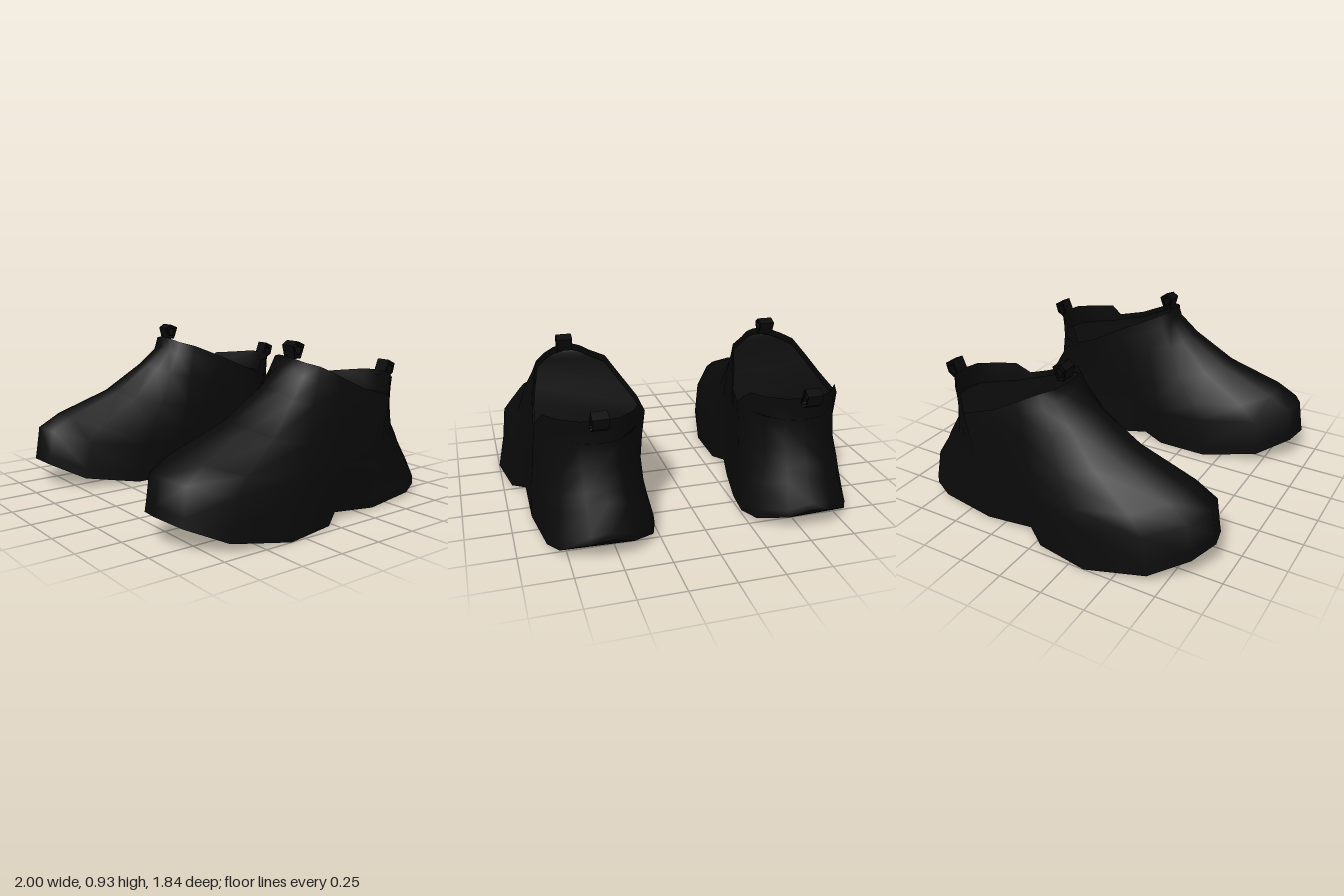
import * as THREE from 'three';

const black = new THREE.MeshStandardMaterial({ color: 0x0a0a0a, side: THREE.DoubleSide });
black.name = 'black';

// Columns round the shoe, toe -> outer side -> heel -> inner side:
// sole x, sole z, rim x, rim y, rim z
const columns = [
  [0.67, 0.92, 0.59, 0.85, 0.055], [0.81, 0.85, 0.66, 0.84, 0.045],
  [0.94, 0.67, 0.72, 0.82, 0.01], [1.0, 0.34, 0.77, 0.8, -0.05],
  [0.95, 0.04, 0.8, 0.74, -0.17], [0.88, -0.07, 0.83, 0.67, -0.31],
  [0.88, -0.36, 0.85, 0.61, -0.5], [0.84, -0.69, 0.81, 0.68, -0.54],
  [0.79, -0.8, 0.74, 0.685, -0.64], [0.65, -0.9, 0.65, 0.695, -0.72],
  [0.53, -0.92, 0.55, 0.7, -0.74], [0.42, -0.88, 0.45, 0.695, -0.72],
  [0.29, -0.76, 0.36, 0.685, -0.63], [0.25, -0.63, 0.31, 0.68, -0.54],
  [0.27, -0.45, 0.26, 0.615, -0.48], [0.32, -0.2, 0.275, 0.66, -0.36],
  [0.36, -0.03, 0.33, 0.73, -0.22], [0.33, 0.1, 0.385, 0.8, -0.06],
  [0.33, 0.4, 0.46, 0.82, 0.0], [0.41, 0.72, 0.51, 0.84, 0.04],
  [0.54, 0.89, 0.55, 0.85, 0.05],
];
const N = columns.length;

// Height fractions of the rings, and how far each has moved from sole to rim
const rise = [0, 0.07, 0.275, 0.38, 0.55, 0.77, 0.91, 1];
const toeLean = [0, 0.01, 0.035, 0.18, 0.56, 0.85, 0.99, 1];
const sideLean = [0, 0.04, 0.16, 0.27, 0.53, 0.72, 0.9, 1];
const heelLean = [0, 0, 0.45, 0.63, 0.97, 1.06, 1.04, 1];

// Underside height along the length: toe spring, arch and rounded heel
const underside = [
  [-0.92, 0.13], [-0.87, 0.07], [-0.8, 0.04], [-0.7, 0.02], [-0.28, 0], [-0.05, 0.04],
  [0.05, 0], [0.4, 0], [0.73, 0.06], [0.92, 0.16],
];
function soleHeight(z) {
  const i = Math.max(1, underside.findIndex(([z1]) => z <= z1));
  const [z0, y0] = underside[i - 1], [z1, y1] = underside[i];
  return y0 + (y1 - y0) * (z - z0) / (z1 - z0);
}

function point(i, r, side) {
  const [sx, sz, rx, ry, rz] = columns[i];
  const toe = THREE.MathUtils.smoothstep(sz, 0.25, 0.85);
  const heel = THREE.MathUtils.smoothstep(-sz, 0.3, 0.85);
  const s = toe * toeLean[r] + heel * heelLean[r] + (1 - toe - heel) * sideLean[r];
  const y0 = soleHeight(sz);
  let x = sx + (rx - sx) * s;
  // the inner ankle is pinched
  if (sz < -0.1 && sx < 0.4) x += 0.02 * Math.sin(Math.PI * rise[r]);
  return [side * x, y0 + (ry - y0) * rise[r], sz + (rz - sz) * s];
}

function surface(positions, quads, side) {
  const index = [];
  for (const [a, b, c, d] of quads) {
    if (side > 0) index.push(a, b, c, a, c, d);
    else index.push(a, c, b, a, d, c);
  }
  const g = new THREE.BufferGeometry();
  g.setAttribute('position', new THREE.Float32BufferAttribute(positions, 3));
  g.setIndex(index);
  g.computeVertexNormals();
  return g;
}

function part(name, geometry) {
  const mesh = new THREE.Mesh(geometry, black);
  mesh.name = name;
  return mesh;
}

// Open shell from the sole edge up to the collar
function upper(side) {
  const pos = [], quads = [];
  for (let r = 0; r < rise.length; r++) {
    for (let i = 0; i < N; i++) {
      pos.push(...point(i, r, side));
      const j = (i + 1) % N;
      if (r) quads.push([(r - 1) * N + i, (r - 1) * N + j, r * N + j, r * N + i]);
    }
  }
  return surface(pos, quads, side);
}

// Bridges matching outer and inner columns, facing up or down
function bridge(pos, side, facing) {
  const quads = [];
  for (let i = 0; i < (N - 1) / 2; i++) quads.push([i, i + 1, N - 2 - i, N - 1 - i]);
  return surface(pos, quads, side * facing);
}

function sole(side) {
  return bridge(columns.flatMap((c, i) => point(i, 0, side)), side, -1);
}

// Lining that closes the sloping opening just below the rim and dips inside the heel collar
function lining(side) {
  const pos = columns.flatMap(([, , x, y, z]) => {
    const depth = z < -0.52 ? 0.57 : y - 0.035;
    return [side * (0.56 + (x - 0.56) * 0.98), depth, -0.34 + (z + 0.34) * 0.98];
  });
  return bridge(pos, side, 1);
}

// Five-sided pull loop of an outer and an inner band, outline given as z, y
function loop(outline, x) {
  const pts = outline.map(([z, y]) => new THREE.Vector2(z, y));
  const mid = pts.reduce((m, p) => m.add(p), new THREE.Vector2()).divideScalar(pts.length);
  const inset = t => pts.map(p => p.clone().lerp(mid, t));
  const bands = [[0, 0.1], [0.4, 0.5]].map(([outer, inner]) => {
    const shape = new THREE.Shape(inset(outer));
    shape.holes.push(new THREE.Path(inset(inner)));
    return shape;
  });
  const g = new THREE.ExtrudeGeometry(bands, { depth: 0.085, bevelEnabled: false });
  g.translate(0, 0, -0.0425).rotateY(-Math.PI / 2).translate(x, 0, 0);
  return g;
}
const frontLoop = [[0.037, 0.903], [0.002, 0.925], [-0.047, 0.905], [-0.02, 0.834], [0.02, 0.834]];
const heelLoop = [[-0.732, 0.67], [-0.767, 0.76], [-0.82, 0.735], [-0.806, 0.68], [-0.757, 0.65]];

export function createModel() {
  const model = new THREE.Group();
  model.name = 'shoes';
  for (const side of [1, -1]) {
    const shoe = new THREE.Group();
    shoe.name = side > 0 ? 'leftShoe' : 'rightShoe';
    shoe.add(
      part('upper', upper(side)),
      part('sole', sole(side)),
      part('lining', lining(side)),
      part('frontPullLoop', loop(frontLoop, side * 0.605)),
      part('heelPullLoop', loop(heelLoop, side * 0.56)),
    );
    model.add(shoe);
  }
  return model;
}
